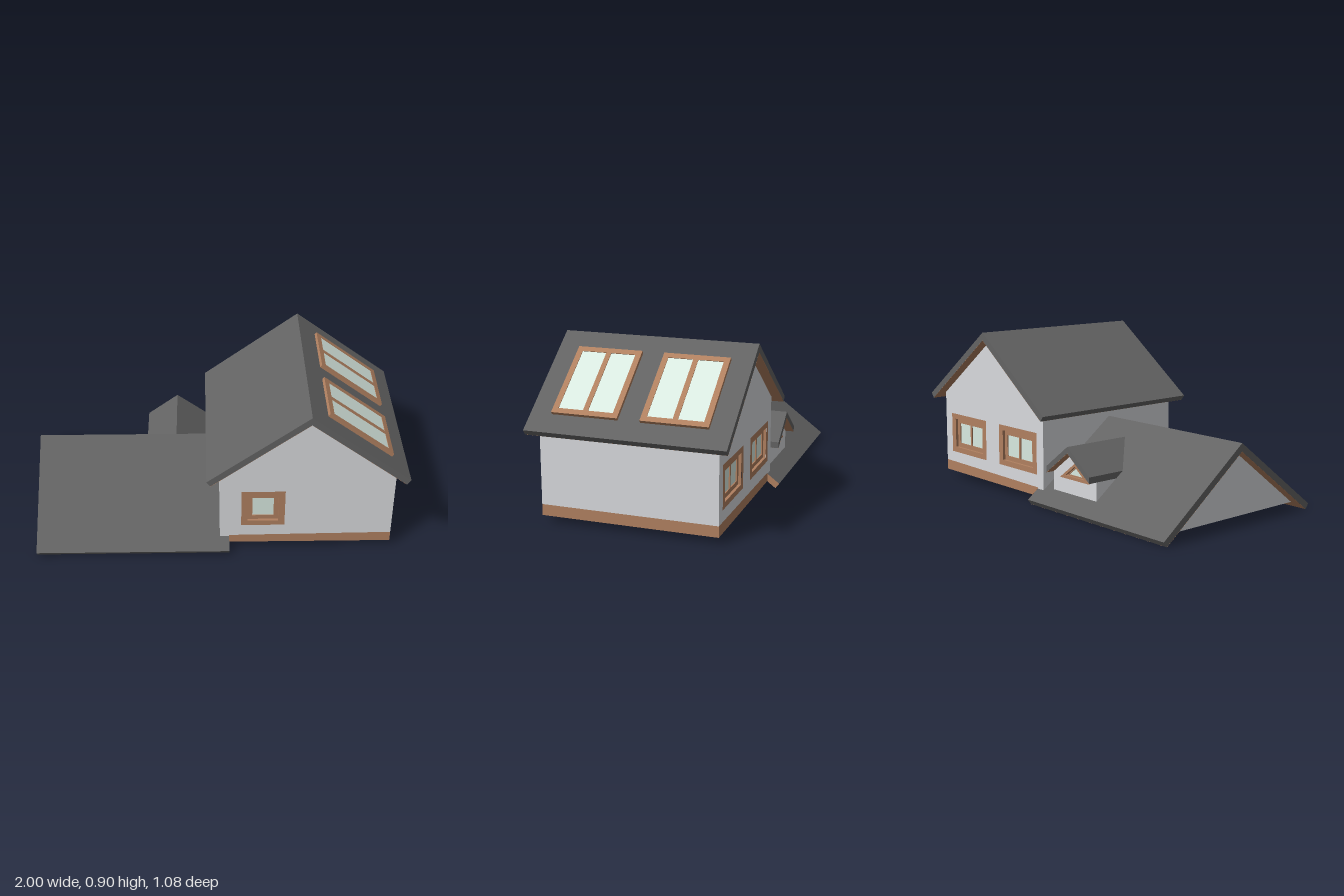
import * as THREE from 'three';

const mat = (color) => new THREE.MeshStandardMaterial({ color, side: THREE.DoubleSide, flatShading: true });
const WALL = mat(0xd8dadd), ROOF = mat(0x636363), WOOD = mat(0xb08060), GLASS = mat(0xd9eae1);
const PITCH = 0.75;                            // every roof has the same slope
const SQUARE = { x: 0.0205, y: 0.0275, v: 0.043 }; // square-cut eave and vertical thickness
const PLUMB = { x: 0, y: 0.034, v: 0.034 };    // plumb-cut eave of the dormer
const WING_RIDGE = 0.431;

function add(parent, name, geometry, material) {
  const m = new THREE.Mesh(geometry, material);
  m.name = name;
  parent.add(m);
  return m;
}
const polygon = (pts) => new THREE.Shape(pts.map(([x, y]) => new THREE.Vector2(x, y)));
const rect = (x0, y0, x1, y1) => polygon([[x0, y0], [x1, y0], [x1, y1], [x0, y1]]);
function extrude(shape, depth, z = 0) {
  return new THREE.ExtrudeGeometry(shape, { depth, bevelEnabled: false }).translate(0, 0, z);
}
// Geometry drawn in (-z, y), standing at x
function addAcross(parent, name, geometry, x, material) {
  const m = add(parent, name, geometry, material);
  m.rotation.y = Math.PI / 2;
  m.position.x = x;
}
const flat = (pts) => new THREE.ShapeGeometry(polygon(pts));
function ring(w, h, bx, by) {
  const shape = rect(-w / 2, -h / 2, w / 2, h / 2);
  shape.holes.push(rect(-w / 2 + bx, -h / 2 + by, w / 2 - bx, h / 2 - by));
  return shape;
}

// Frame centred on the origin, split into upright panes
function paneFrame(parent, w, h, border, bar, panes, z, depth, glassZ) {
  const shape = rect(-w / 2, -h / 2, w / 2, h / 2);
  const pw = (w - 2 * border - (panes - 1) * bar) / panes;
  for (let i = 0; i < panes; i++) {
    const x = -w / 2 + border + i * (pw + bar);
    shape.holes.push(rect(x, -h / 2 + border, x + pw, h / 2 - border));
  }
  add(parent, 'windowFrame', extrude(shape, depth, z), WOOD);
  const g = new THREE.PlaneGeometry(w - border, h - border).translate(0, 0, glassZ);
  add(parent, 'windowGlass', g, GLASS);
}

// Wall window: flat trim flush with the wall, thin reveal, inner frame set back
function wallWindow(w, h, panes) {
  const g = new THREE.Group();
  g.name = 'window';
  const iw = w - 0.07, ih = h - 0.06;
  add(g, 'windowTrim', new THREE.ShapeGeometry(ring(w, h, 0.035, 0.03)), WOOD);
  add(g, 'windowReveal', extrude(ring(iw + 0.004, ih + 0.004, 0.002, 0.002), 0.029, -0.03), WOOD);
  paneFrame(g, iw, ih, 0.025, 0.014, panes, -0.03, 0.014, -0.022);
  return g;
}

// Thin timber lining just below a roof slope on side s, from a to b off the ridge
function soffit(s, a, b, slab) {
  const y = (x) => -slab.v - PITCH * x - 0.0003;
  return polygon([[s * a, y(a)], [s * b, y(b)], [s * b, y(b) - 0.001], [s * a, y(a) - 0.001]]);
}

// Pitched roof along z from z0 to z1, ridge at y = 0, with soffits outside the walls
function pitchedRoof(name, half, z0, z1, wallHalf, slab, overhangs) {
  const g = new THREE.Group();
  g.name = name;
  const ey = -PITCH * half, ix = half - slab.x, iy = ey - slab.y;
  const profile = polygon([[0, 0], [-half, ey], [-ix, iy], [0, -slab.v], [ix, iy], [half, ey]]);
  add(g, 'roofSlab', extrude(profile, z1 - z0, z0), ROOF);
  for (const s of [-1, 1]) {
    for (const [a, b] of overhangs) {
      add(g, 'gableSoffit', extrude(soffit(s, 0, ix - 0.001, slab), b - a, a), WOOD);
    }
    if (wallHalf < ix) add(g, 'eaveSoffit', extrude(soffit(s, wallHalf, ix - 0.001, slab), z1 - z0, z0), WOOD);
  }
  return g;
}

// Main house
function house() {
  const g = new THREE.Group();
  g.name = 'mainHouse';
  const cx = 0.463, hz = 0.47, x0 = -0.001, x1 = 0.932, base = 0.036, band = 0.095;
  const apex = 0.9 - SQUARE.v;
  const eaveIn = apex - PITCH * (cx - x0), eaveOut = apex - PITCH * (x1 - cx);

  // Front and back gables with their windows and base bands
  const gables = [
    { name: 'frontWall', z: hz, windows: [[0.232, 0.235, 1]] },
    { name: 'backWall', z: -hz, windows: [[0.7, 0.345, 2], [0.23, 0.345, 2]] },
  ];
  for (const { name, z, windows } of gables) {
    const shape = polygon([[x0, base], [0.05, base], [0.05, 0.085], [x1, band],
      [x1, eaveOut], [cx, apex], [x0, eaveIn]]);
    for (const [x, w, panes] of windows) {
      shape.holes.push(rect(x - w / 2, 0.155, x + w / 2, 0.385));
      const win = wallWindow(w, 0.23, panes);
      win.position.set(x, 0.27, z);
      if (z < 0) win.rotation.y = Math.PI;
      g.add(win);
    }
    add(g, name, new THREE.ShapeGeometry(shape), WALL).position.z = z;
    add(g, 'baseBand', flat([[0.05, base], [x1, base], [x1, band], [0.05, 0.085]]), WOOD).position.z = z;
  }

  // Side walls; the inner one is open to the wing
  addAcross(g, 'outerSideWall', flat([[-hz, band], [hz, band], [hz, eaveOut], [-hz, eaveOut]]), x1, WALL);
  addAcross(g, 'baseBand', flat([[-hz, base], [hz, base], [hz, band], [-hz, band]]), x1, WOOD);
  addAcross(g, 'innerSideWall', flat([[-hz, base], [0, WING_RIDGE - SQUARE.v], [hz, base],
    [hz, eaveIn], [-hz, eaveIn]]), x0, WALL);

  const roof = pitchedRoof('mainRoof', 0.536, -0.527, 0.527, 0.468, SQUARE, [[-0.527, -hz], [hz, 0.527]]);
  roof.position.set(cx, 0.9, 0);
  g.add(roof);

  // Roof windows on the outer slope
  for (const z of [-0.235, 0.235]) {
    const s = new THREE.Group();
    s.name = 'roofWindow';
    paneFrame(s, 0.352, 0.4375, 0.03, 0.027, 2, -0.005, 0.022, 0.014);
    s.applyMatrix4(new THREE.Matrix4().makeBasis(
      new THREE.Vector3(0, 0, -1), new THREE.Vector3(-0.8, 0.6, 0), new THREE.Vector3(0.6, 0.8, 0)));
    s.position.set(0.732, 0.9 - PITCH * (0.732 - cx), z);
    g.add(s);
  }
  return g;
}

// Low wing, ridge along x
function wing() {
  const g = new THREE.Group();
  g.name = 'wing';
  const half = 0.538, wall = 0.47, inner = half - SQUARE.x;
  const roof = pitchedRoof('wingRoof', half, -1, 0, wall, SQUARE, [[-1, -0.94]]);
  roof.rotation.y = Math.PI / 2;
  roof.position.y = WING_RIDGE;
  g.add(roof);
  const ridge = WING_RIDGE - SQUARE.v;
  addAcross(g, 'wingGable', flat([[-wall, 0.036], [wall, 0.036], [0, ridge]]), -0.94, WALL);

  // Eaves run on a little past the corner of the main house
  const eaves = new THREE.Group();
  eaves.name = 'eaveReturns';
  eaves.position.y = WING_RIDGE;
  g.add(eaves);
  for (const s of [-1, 1]) {
    const end = [[wall, -PITCH * wall], [wall, -PITCH * wall - SQUARE.v],
      [inner, -PITCH * half - SQUARE.y], [half, -PITCH * half]].map(([z, y]) => [s * z, y]);
    addAcross(eaves, 'eaveReturn', extrude(polygon(end), 0.05), 0, ROOF);
    addAcross(eaves, 'eaveSoffit', extrude(soffit(s, wall, inner - 0.001, SQUARE), 0.05), 0, WOOD);
    if (s > 0) addAcross(eaves, 'eaveEnd', flat(end), 0.051, WOOD);
  }
  return g;
}

// Dormer on the rear slope of the wing
function dormer() {
  const g = new THREE.Group();
  g.name = 'dormer';
  const ridge = 0.36, hw = 0.174, z = -0.45, bottom = 0.085;
  const apex = ridge - PLUMB.v, eave = apex - PITCH * hw;
  const slopeZ = (y) => -(WING_RIDGE - y) / PITCH;
  const roof = pitchedRoof('dormerRoof', 0.175, -0.5, -0.1, hw + 0.001, PLUMB, [[-0.5, z]]);
  roof.position.y = ridge;
  g.add(roof);
  // Rear end of the roof follows the wing slope
  const slab = roof.getObjectByName('roofSlab').geometry, p = slab.attributes.position;
  for (let i = 0; i < p.count; i++) {
    if (p.getZ(i) > -0.3) p.setZ(i, slopeZ(p.getY(i) + ridge) + 0.005);
  }
  slab.computeVertexNormals();

  const front = polygon([[-hw, bottom], [hw, bottom], [hw, eave], [0, apex], [-hw, eave]]);
  const tri = (w, y) => polygon([[-w, y], [w, y], [0, y + w * PITCH]]);
  front.holes.push(tri(0.122, 0.172));
  add(g, 'dormerFront', new THREE.ShapeGeometry(front), WALL).position.z = z;
  for (const s of [-1, 1]) {
    addAcross(g, 'dormerCheek', flat([[-z, bottom], [-z, eave], [-slopeZ(eave), eave]]), s * hw, WALL);
  }

  // Triangular window
  const trim = tri(0.122, 0.172);
  trim.holes.push(tri(0.078, 0.188));
  add(g, 'dormerWindowTrim', extrude(trim, 0.02, z), WOOD);
  const inner = tri(0.083, 0.1865);
  inner.holes.push(tri(0.061, 0.194));
  add(g, 'dormerWindowFrame', extrude(inner, 0.01, z + 0.012), WOOD);
  add(g, 'dormerWindowGlass', new THREE.ShapeGeometry(tri(0.072, 0.19)), GLASS).position.z = z + 0.017;
  g.position.x = -0.24;
  return g;
}

export function createModel() {
  const model = new THREE.Group();
  model.name = 'house';
  model.add(house(), wing(), dormer());
  return model;
}
